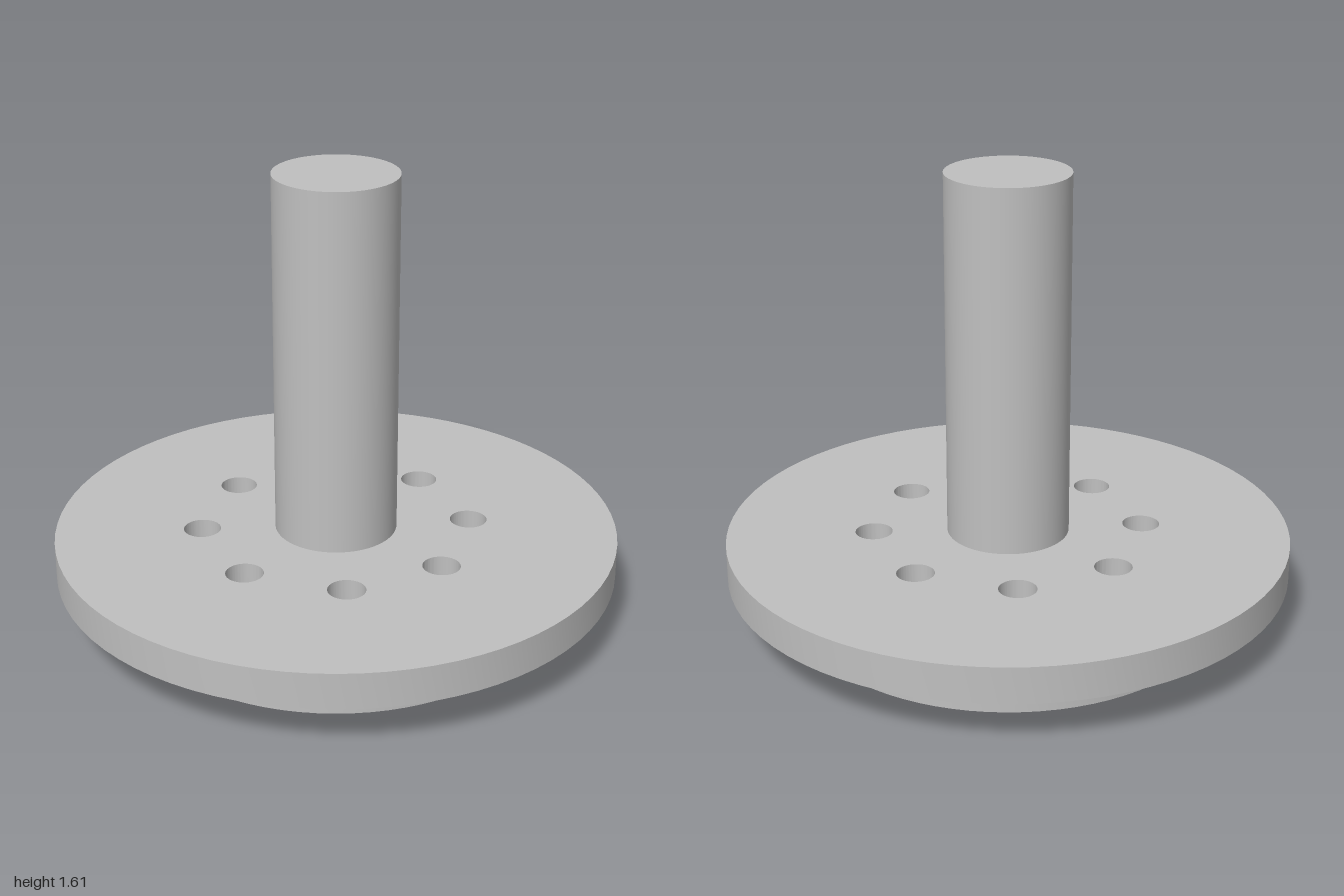
import * as THREE from 'three';
import { toCreasedNormals } from 'three/addons/utils/BufferGeometryUtils.js';

const HOLES = 8;

// Round plate lying flat from y0 to y1, pierced by round holes [x, z, radius]
function pierced(radius, y0, y1, holes) {
  const shape = new THREE.Shape().absarc(0, 0, radius, 0, Math.PI * 2, false);
  for (const [x, z, r] of holes) {
    shape.holes.push(new THREE.Path().absarc(x, -z, r, 0, Math.PI * 2, true));
  }
  const geometry = new THREE.ExtrudeGeometry(shape, {
    depth: y1 - y0, bevelEnabled: false, curveSegments: 40,
  });
  geometry.rotateX(-Math.PI / 2).translate(0, y0, 0);
  return toCreasedNormals(geometry, Math.PI / 6);
}

export function createModel() {
  const model = new THREE.Group();
  model.name = 'flangedShaft';
  const steel = new THREE.MeshStandardMaterial({ color: 0xc0c0c0 });
  steel.name = 'steel grey';

  const add = (name, geometry) => {
    const mesh = new THREE.Mesh(geometry, steel);
    mesh.name = name;
    model.add(mesh);
  };

  // Hollow locating rim under the flange
  add('rim', pierced(0.753, 0, 0.178, [[0, 0, 0.675]]));

  // Flange disc with a circle of bolt holes
  const boltHoles = [];
  for (let i = 0; i < HOLES; i++) {
    const a = (i / HOLES) * Math.PI * 2;
    boltHoles.push([0.478 * Math.cos(a), 0.478 * Math.sin(a), 0.066]);
  }
  add('flange', pierced(1, 0.178, 0.308, boltHoles));

  // Solid upright shaft
  const shaft = new THREE.CylinderGeometry(0.217, 0.217, 1.305, 64);
  shaft.translate(0, 0.308 + 1.305 / 2, 0);
  add('shaft', shaft);

  return model;
}
